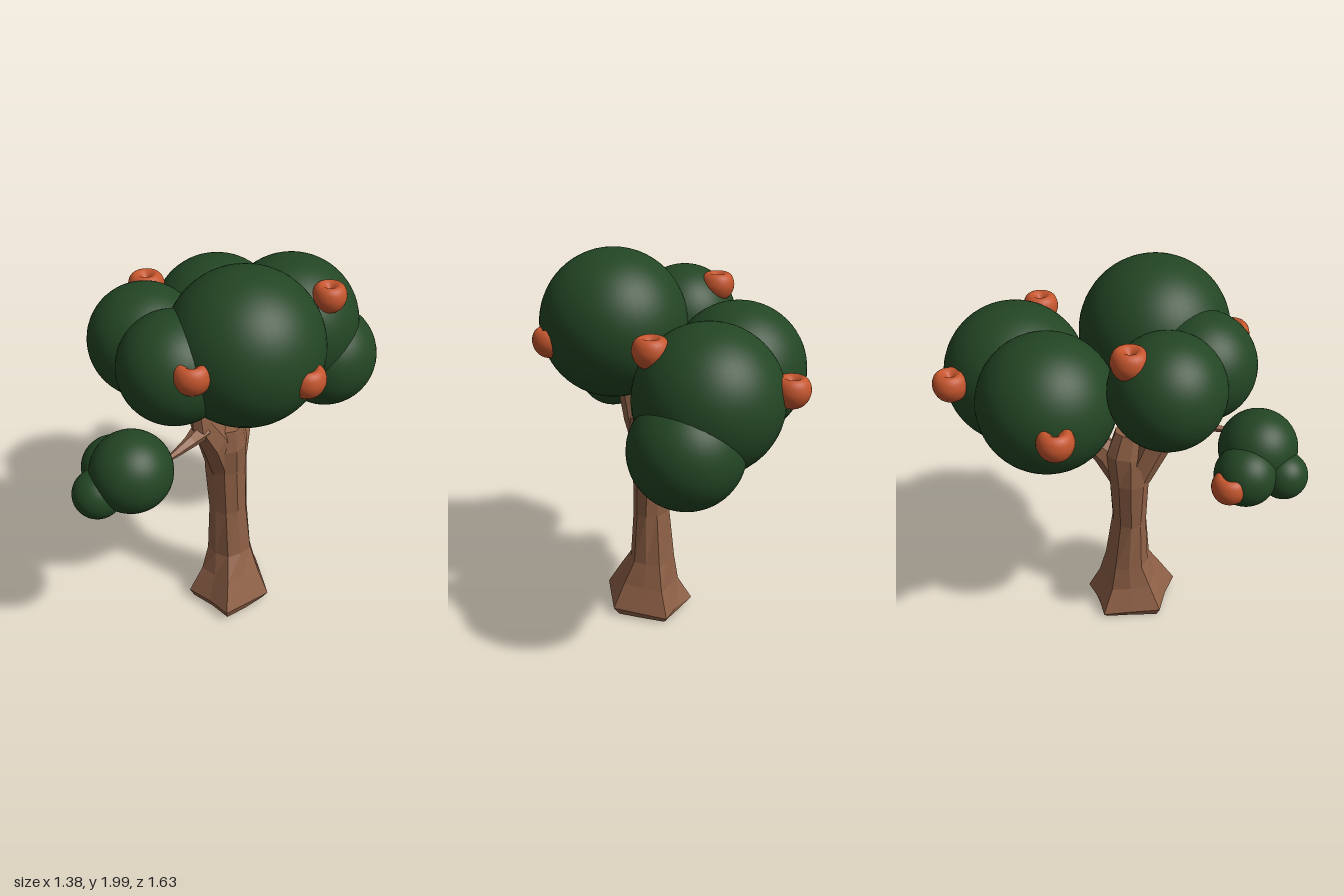
import * as THREE from 'three';

const bark = new THREE.MeshStandardMaterial({ color: 0x8e6046 });
const leaf = new THREE.MeshStandardMaterial({ color: 0x234624 });
const fruitSkin = new THREE.MeshStandardMaterial({ color: 0xc4552d });
bark.name = 'bark brown';
leaf.name = 'leaf green';
fruitSkin.name = 'fruit orange';

// Small seeded generator for uneven bark
function makeRandom(seed) {
  let s = seed;
  return () => (s = (s * 16807) % 2147483647) / 2147483647;
}

// Faceted limb; each ring is [x, y, z, radiusX, radiusZ, lobe depth]
function limb(name, rings, sides, seed) {
  const rand = makeRandom(seed);
  const up = new THREE.Vector3(0, 1, 0);
  const centres = rings.map(r => new THREE.Vector3(r[0], r[1], r[2]));
  const pos = [], idx = [], last = rings.length - 1;
  rings.forEach(([, , , rx, rz, lobe = 0], j) => {
    const dir = centres[Math.min(j + 1, last)].clone()
      .sub(centres[Math.max(j - 1, 0)]).normalize();
    const q = new THREE.Quaternion().setFromUnitVectors(up, dir);
    for (let i = 0; i < sides; i++) {
      const a = (i / sides) * Math.PI * 2 + 0.3;
      const k = 1 + lobe * Math.cos(5 * (a - 0.3)) + (rand() - 0.5) * 0.1;
      const p = new THREE.Vector3(Math.cos(a) * rx * k, 0, Math.sin(a) * rz * k);
      p.applyQuaternion(q).add(centres[j]);
      pos.push(p.x, p.y, p.z);
    }
  });
  for (let j = 0; j < last; j++) {
    for (let i = 0; i < sides; i++) {
      const n = (i + 1) % sides;
      const a = j * sides + i, b = j * sides + n;
      idx.push(a, a + sides, b, b, a + sides, b + sides);
    }
  }
  // End caps
  const low = pos.length / 3, high = low + 1, top = last * sides;
  pos.push(...centres[0].toArray(), ...centres[last].toArray());
  for (let i = 0; i < sides; i++) {
    const n = (i + 1) % sides;
    idx.push(low, i, n, high, top + n, top + i);
  }
  const indexed = new THREE.BufferGeometry();
  indexed.setAttribute('position', new THREE.Float32BufferAttribute(pos, 3));
  indexed.setIndex(idx);
  const geo = indexed.toNonIndexed();
  geo.computeVertexNormals();
  const mesh = new THREE.Mesh(geo, bark);
  mesh.name = name;
  return mesh;
}

export function createModel() {
  const tree = new THREE.Group();
  tree.name = 'fruitTree';

  // Trunk with flared roots
  tree.add(limb('trunk', [
    [-0.04, 0.012, 0.14, 0.18, 0.21, 0.1],
    [-0.04, 0.055, 0.14, 0.2, 0.235, 0.13],
    [-0.04, 0.19, 0.13, 0.145, 0.165, 0.1],
    [-0.045, 0.32, 0.112, 0.12, 0.115, 0.04],
    [-0.055, 0.6, 0.115, 0.1, 0.088],
    [-0.06, 0.86, 0.11, 0.105, 0.105],
    [-0.055, 1.02, 0.115, 0.1, 0.125],
    [-0.05, 1.14, 0.13, 0.08, 0.1],
  ], 10, 11));

  // Forked branches
  tree.add(limb('frontBranch', [
    [-0.08, 0.88, 0.13, 0.08, 0.085],
    [-0.115, 1.1, 0.215, 0.075, 0.1],
    [-0.16, 1.26, 0.3, 0.055, 0.095],
    [-0.17, 1.42, 0.33, 0.04, 0.06],
  ], 7, 23));
  tree.add(limb('backBranch', [
    [-0.02, 0.86, 0.085, 0.065, 0.08],
    [0, 1.01, 0.005, 0.06, 0.075],
    [0.03, 1.125, -0.11, 0.035, 0.05],
    [0.05, 1.26, -0.21, 0.03, 0.035],
  ], 7, 37));
  tree.add(limb('sideTwig', [
    [-0.15, 1.21, 0.33, 0.05, 0.05],
    [-0.195, 1.21, 0.42, 0.03, 0.03],
    [-0.25, 1.2, 0.5, 0.019, 0.019],
    [-0.31, 1.2, 0.59, 0.008, 0.008],
  ], 5, 41));

  // Foliage balls: x, y, z, radius
  const foliage = new THREE.Group();
  foliage.name = 'foliage';
  const ball = new THREE.SphereGeometry(1, 48, 32);
  [
    [0.045, 1.635, 0.262, 0.365],
    [-0.425, 1.58, 0.14, 0.27],
    [-0.26, 1.58, 0.375, 0.26],
    [-0.14, 1.45, -0.337, 0.33],
    [0.235, 1.42, -0.388, 0.352],
    [0.42, 1.235, -0.385, 0.27],
    [-0.435, 1.18, 0.62, 0.19],
    [-0.54, 1.115, 0.51, 0.15],
    [-0.58, 1.1, 0.69, 0.115],
  ].forEach(([x, y, z, r], i) => {
    const m = new THREE.Mesh(ball, leaf);
    m.name = `foliageBall${i + 1}`;
    m.position.set(x, y, z);
    m.scale.setScalar(r);
    foliage.add(m);
  });
  tree.add(foliage);

  // Dimpled fruit
  const profile = new THREE.SplineCurve([
    [0, -0.07], [0.035, -0.067], [0.068, -0.042], [0.086, 0.005],
    [0.077, 0.05], [0.052, 0.071], [0.026, 0.06], [0, 0.035],
  ].map(p => new THREE.Vector2(...p))).getPoints(24);
  profile.forEach(p => { p.x = Math.max(p.x, 0); });
  const fruitShape = new THREE.LatheGeometry(profile, 28);
  const fruits = new THREE.Group();
  fruits.name = 'fruits';
  [
    [0.1, 1.48, -0.732],
    [-0.465, 1.435, -0.39],
    [-0.44, 1.755, -0.045],
    [0.42, 1.655, -0.2],
    [0.325, 1.575, 0.44],
    [-0.155, 1.65, 0.57],
    [-0.59, 1.095, 0.405],
  ].forEach((p, i) => {
    const m = new THREE.Mesh(fruitShape, fruitSkin);
    m.name = `fruit${i + 1}`;
    m.position.set(...p);
    fruits.add(m);
  });
  tree.add(fruits);

  return tree;
}
